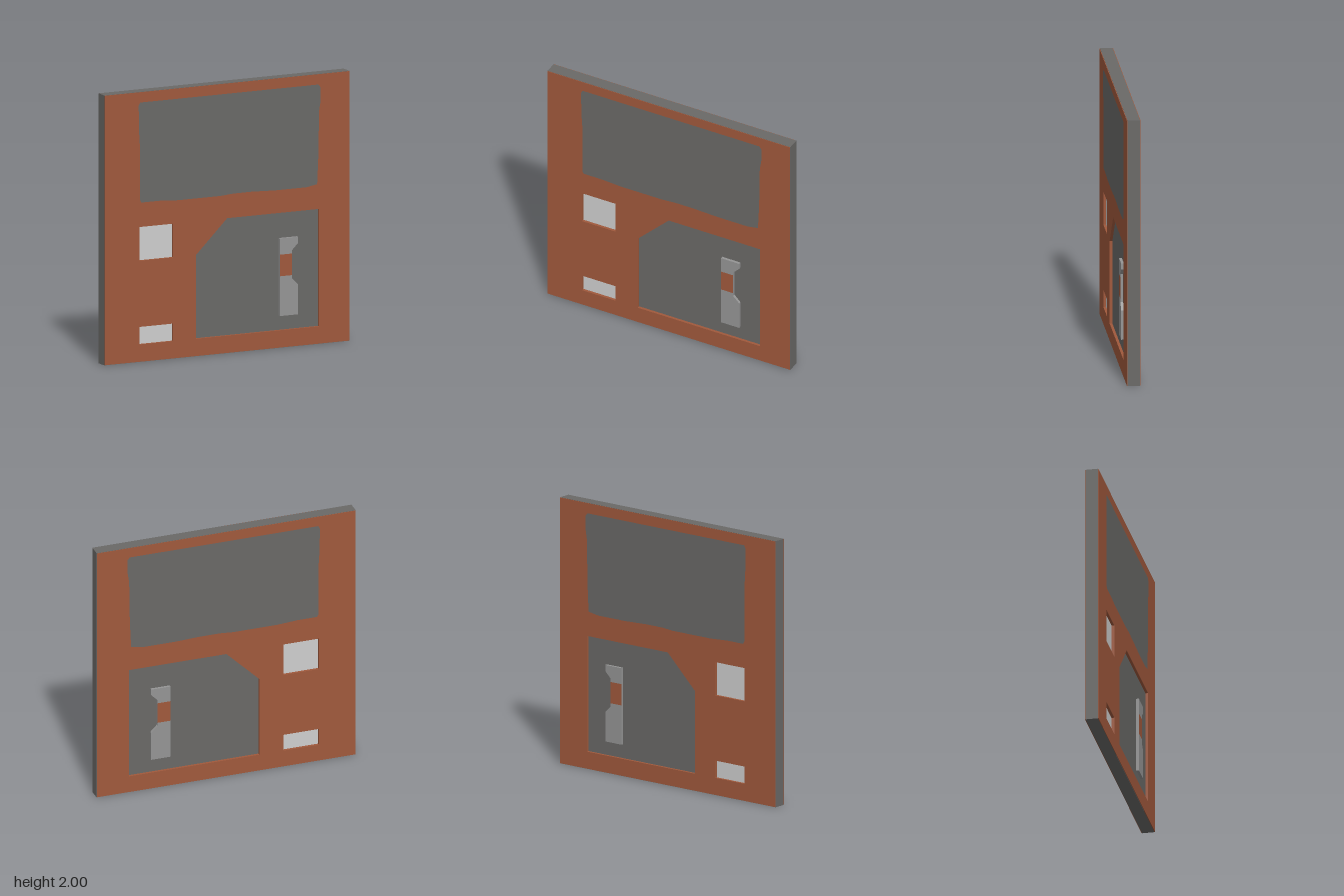
import * as THREE from 'three';

const material = (name, color) => {
  const m = new THREE.MeshStandardMaterial({ color });
  m.name = name;
  return m;
};

export function createModel() {
  const rust = material('rust casing', 0xa0593c);
  const darkGrey = material('dark grey', 0x6a6967);
  const midGrey = material('mid grey', 0x959595);
  const paleGrey = material('pale grey', 0xcecece);

  const group = new THREE.Group();
  group.name = 'flatCartridge';

  // Outlines
  const points = (list) => list.map(([x, y]) => new THREE.Vector2(x, y));
  const rect = (x0, y0, x1, y1) => [[x0, y0], [x1, y0], [x1, y1], [x0, y1]];

  // Every part runs through the panel, the same on front and back
  const addPart = (name, outline, halfDepth, mat, holes = []) => {
    const shape = new THREE.Shape(points(outline));
    holes.forEach((h) => shape.holes.push(new THREE.Path(points(h))));
    const geometry = new THREE.ExtrudeGeometry(shape, { depth: 2 * halfDepth, bevelEnabled: false });
    geometry.translate(0, 0, -halfDepth);
    const mesh = new THREE.Mesh(geometry, mat);
    mesh.name = name;
    group.add(mesh);
  };

  const label = [
    [-0.7, 1.18], [-0.55, 1.18], [-0.4, 1.17], [-0.05, 1.17], [0.05, 1.178], [0.2, 1.178],
    [0.4, 1.17], [0.65, 1.17], [0.735, 1.185], [0.745, 1.4], [0.75, 1.72], [0.763, 1.8],
    [0.763, 1.9], [0.745, 1.922], [-0.71, 1.922], [-0.722, 1.9], [-0.72, 1.72],
    [-0.712, 1.6], [-0.712, 1.2],
  ];
  const shutter = [[-0.255, 0.13], [0.75, 0.13], [0.75, 1.0], [0, 1.0], [-0.255, 0.75]];
  const upperWindow = rect(-0.715, 0.75, -0.44, 1.0);
  const lowerWindow = rect(-0.715, 0.13, -0.44, 0.26);

  // Casing with openings, and the grey band around its rim
  const half = 0.05, recessed = 0.03, inset = 0.002;
  addPart('casing', rect(-1 + inset, inset, 1 - inset, 2 - inset), half, rust,
    [label, shutter, upperWindow, lowerWindow]);
  addPart('rimBand', rect(-1, 0, 1, 2), 0.046, darkGrey,
    [rect(-1 + inset, inset, 1 - inset, 2 - inset)]);

  // Flush label and recessed panels
  addPart('label', label, half, darkGrey);
  addPart('shutterPanel', shutter, recessed, darkGrey);
  addPart('upperWindow', upperWindow, recessed, paleGrey);
  addPart('lowerWindow', lowerWindow, recessed, paleGrey);

  // Raised slider with a notched edge and a coloured band
  addPart('sliderLower', [[0.43, 0.235], [0.58, 0.235], [0.58, 0.455], [0.53, 0.505],
    [0.53, 0.53], [0.43, 0.53]], half, midGrey);
  addPart('sliderBand', rect(0.43, 0.53, 0.53, 0.69), half, [rust, midGrey]);
  addPart('sliderUpper', [[0.43, 0.69], [0.53, 0.69], [0.53, 0.715], [0.58, 0.765],
    [0.58, 0.81], [0.43, 0.81]], half, midGrey);

  return group;
}
